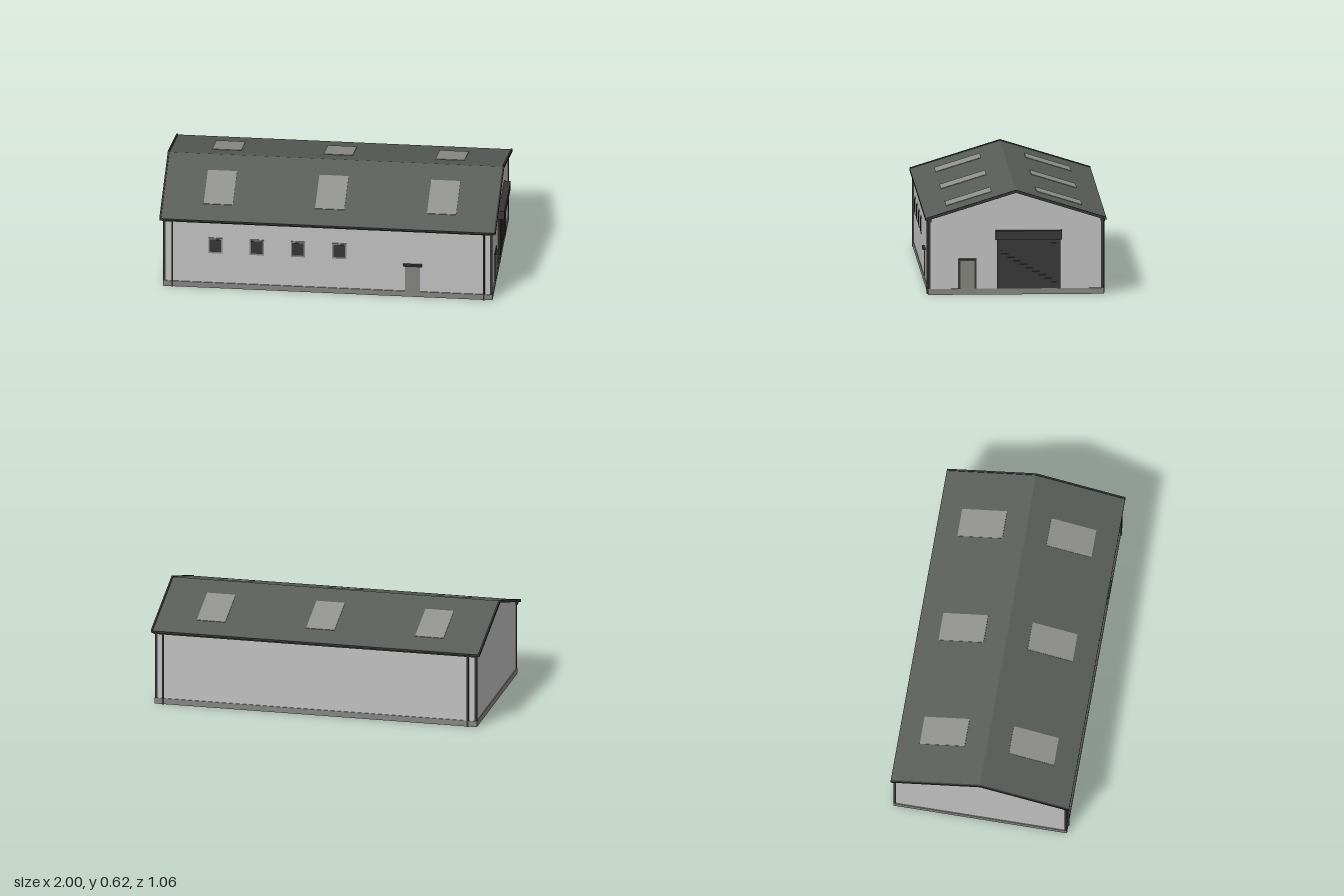
import * as THREE from 'three';

const mat = (name, color) => {
  const m = new THREE.MeshStandardMaterial({ color });
  m.name = name;
  return m;
};

export function createModel() {
  const wall = mat('wall cladding', 0xc2c2c2);
  const roofMat = mat('roof sheet', 0x585d59);
  const skyMat = mat('skylight panel', 0x90918c);
  const plinthMat = mat('plinth concrete', 0x868684);
  const doorMat = mat('door grey', 0x85867f);
  const trim = mat('dark trim', 0x363636);
  const shutterMat = mat('shutter', 0x363637);

  const model = new THREE.Group();
  model.name = 'warehouse';
  const add = (name, geometry, material) => {
    const mesh = new THREE.Mesh(geometry, material);
    mesh.name = name;
    model.add(mesh);
    return mesh;
  };
  // box given by its minimum and maximum on each axis
  const box = (name, material, x0, x1, y0, y1, z0, z1) => {
    const mesh = add(name, new THREE.BoxGeometry(x1 - x0, y1 - y0, z1 - z0), material);
    mesh.position.set((x0 + x1) / 2, (y0 + y1) / 2, (z0 + z1) / 2);
    return mesh;
  };
  // profile of [z, y] points extruded along x from x0 to x1
  const profile = (name, material, points, x0, x1) => {
    const shape = new THREE.Shape(points.map(([z, y]) => new THREE.Vector2(z, y)));
    const g = new THREE.ExtrudeGeometry(shape, { depth: x1 - x0, bevelEnabled: false });
    g.rotateY(-Math.PI / 2).translate(x1, 0, 0);
    return add(name, g, material);
  };

  const L = -0.975, R = 0.96, W = 0.512, BASE = 0.035;
  const slope = 0.31, ridge = 0.617, eave = 0.53;
  const chevron = (top, half, t) => [
    [-half, top - slope * half], [-half, top - slope * half - t], [0, top - t],
    [half, top - slope * half - t], [half, top - slope * half], [0, top],
  ];

  // shell and base
  box('plinth', plinthMat, L - 0.005, R + 0.005, 0, BASE, -0.517, 0.517);
  const wallTop = 0.607;
  profile('walls', wall, [[-W, BASE], [W, BASE], [W, wallTop - slope * W], [0, wallTop],
    [-W, wallTop - slope * W]], L, R);

  // roof with verge trims at both gables
  profile('roof', roofMat, chevron(ridge, eave, 0.01), -0.99, 0.975);
  profile('vergeTrim', trim, chevron(ridge + 0.006, eave + 0.002, 0.017), -1, -0.99);
  profile('vergeTrim', trim, chevron(ridge + 0.006, eave + 0.002, 0.017), 0.975, 0.985);

  for (const s of [-1, 1]) {
    const span = (a, b) => (s > 0 ? [a, b] : [-b, -a]);
    // eaves, gutter, corner trims and downpipes
    box('eaveTrim', trim, -0.99, 0.975, 0.441, 0.453, ...span(eave - 0.004, eave + 0.002));
    box('gutter', trim, -0.985, 0.97, 0.432, 0.452, ...span(0.498, 0.523));
    for (const x of [L - 0.004, R - 0.011]) {
      box('cornerTrim', trim, x, x + 0.015, BASE, 0.445, ...span(0.502, 0.516));
    }
    for (const x of [-0.925, 0.914]) {
      box('downpipe', trim, x - 0.005, x + 0.005, 0, 0.44, ...span(0.512, 0.522));
    }
    // skylights lying on the slope
    for (const x of [-0.665, -0.007, 0.653]) {
      const len = 0.268 * Math.hypot(1, slope);
      const sky = add('skylight', new THREE.BoxGeometry(0.172, 0.006, len), skyMat);
      sky.position.set(x, ridge - slope * 0.265, s * 0.265);
      sky.rotation.x = s * Math.atan(slope);
    }
  }

  // front windows
  for (const x of [-0.67, -0.427, -0.183, 0.06]) {
    box('windowFrame', plinthMat, x - 0.042, x + 0.042, 0.23, 0.331, W - 0.004, W + 0.005);
    box('windowPane', trim, x - 0.034, x + 0.034, 0.241, 0.322, W, W + 0.007);
  }

  // front door and canopy
  box('frontDoor', doorMat, 0.45, 0.538, BASE, 0.205, W - 0.004, W + 0.005);
  box('frontCanopy', trim, 0.437, 0.548, 0.203, 0.216, W - 0.004, W + 0.016);

  // gable side door with frame
  box('sideDoorFrame', trim, R - 0.004, R + 0.006, BASE, 0.213, 0.232, 0.34);
  box('sideDoor', doorMat, R, R + 0.009, BASE, 0.2, 0.244, 0.327);

  // roller shutter: slats, jambs and housing
  const slats = 14, h = (0.33 - BASE) / slats;
  for (let i = 0; i < slats; i++) {
    const y = BASE + i * h;
    box('shutterSlat', shutterMat, R - 0.004, R + 0.006, y, y + h * 0.8, -0.238, 0.088);
    box('shutterJoint', shutterMat, R - 0.004, R + 0.004, y + h * 0.8, y + h, -0.238, 0.088);
  }
  box('shutterJamb', trim, R - 0.004, R + 0.012, BASE, 0.33, 0.088, 0.112);
  box('shutterJamb', trim, R - 0.004, R + 0.012, BASE, 0.33, -0.262, -0.238);
  box('shutterHousing', trim, R - 0.004, 0.998, 0.328, 0.381, -0.27, 0.12);

  return model;
}
